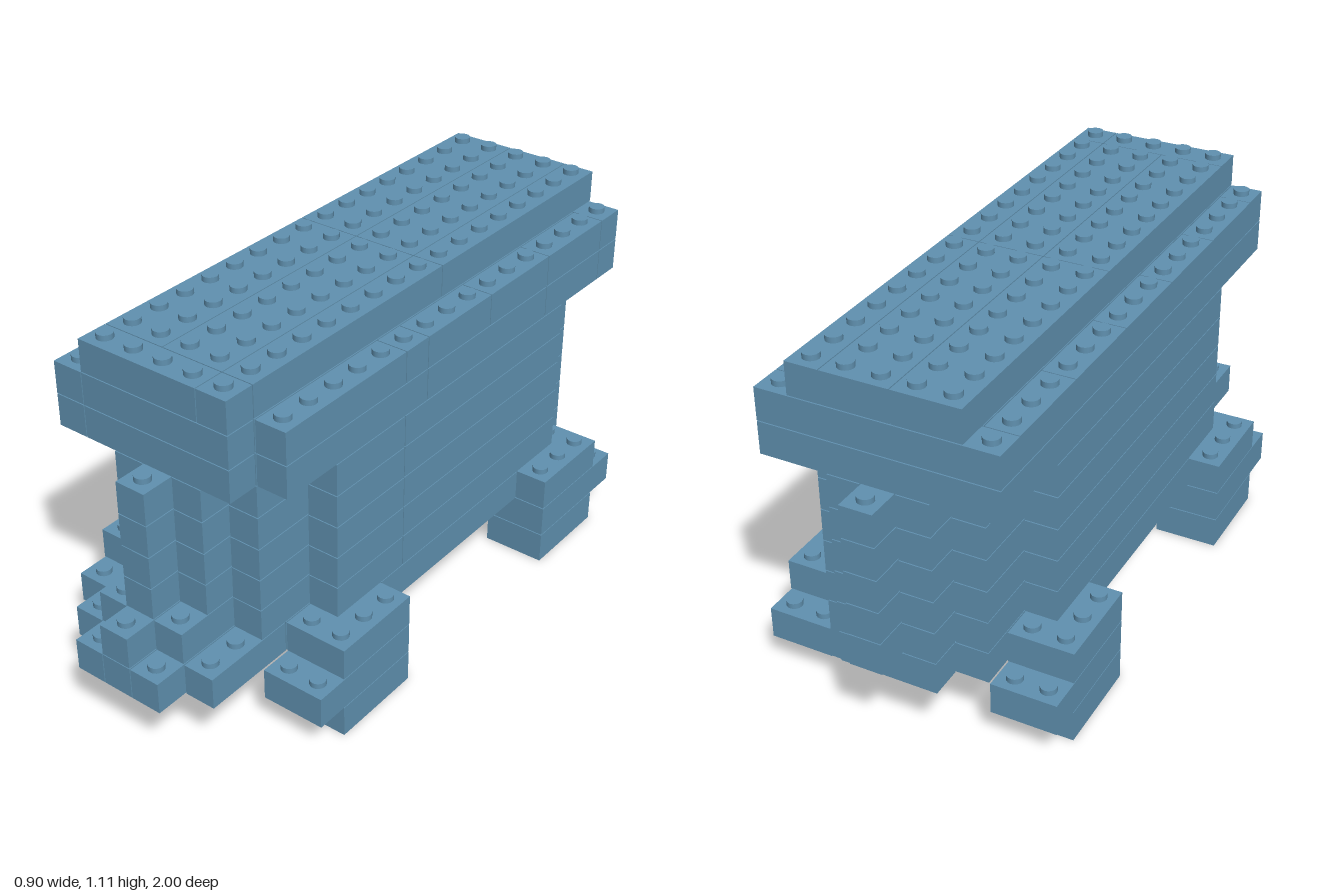
import * as THREE from 'three';
import { mergeGeometries } from 'three/addons/utils/BufferGeometryUtils.js';

const U = 0.1;      // one stud pitch, also one brick height
const GAP = 0.003;  // seam between neighbouring bricks

// A brick is [first column, last column, z start, z end, layer], in stud units.
// Column 0 is centred on x = 0.
function makeParts() {
  const feet = [], fenders = [], base = [], walls = [], roof = [], topRoof = [];

  // Feet and the fenders above them, mirrored to both sides
  for (const [a, b] of [[3, 4], [-4, -3]]) {
    feet.push([a, b, 3, 6, 0], [a, b, 3, 7, 1], [a, b, -7, -4, 0], [a, b, -8, -4, 1]);
    fenders.push([a, b, 3, 6, 2], [a, b, -7, -4, 2]);
  }

  // Base plate with a stepped bow and stern
  base.push([-1, -1, 6, 10, 2], [0, 0, 6, 10, 2], [1, 1, 6, 10, 2]);
  base.push([-2, -2, 6, 9, 2], [2, 2, 6, 9, 2]);
  base.push([-2, 2, 3, 6, 2], [-3, 3, -4, 3, 2], [-2, 2, -8, -4, 2], [-1, 1, -9, -8, 2]);

  // Wall strips, each ending further out towards the middle
  for (let layer = 3; layer < 8; layer++) {
    const low = layer === 3 ? 1 : 0;
    for (const s of [-1, 1]) {
      walls.push([3 * s, 3 * s, -6, 2, layer], [3 * s, 3 * s, 2, 5, layer]);
      walls.push([2 * s, 2 * s, -8, 2, layer], [2 * s, 2 * s, 2, 7, layer]);
      walls.push([s, s, -9, 2, layer], [s, s, 2, 8 + low, layer]);
    }
    walls.push([0, 0, -10, 2, layer], [0, 0, 2, 9 + low, layer]);
  }

  // Wide roof, two layers; one front corner is left out
  const seams = {
    8: [[-8, -2, 2, 7], [-8, -5, 1, 7]],
    9: [[-8, -5, -2, 1, 4, 7], [-8, -5, -2, 1, 2, 7]],
  };
  for (const layer of [8, 9]) {
    roof.push([-3, 3, -9, -8, layer], [-2, 2, -8, 7, layer]);
    roof.push([-3, -3, 7, 8, layer], [-2, 2, 7, 8, layer]);
    [-3, 3].forEach((col, n) => {
      const cuts = seams[layer][n];
      for (let i = 1; i < cuts.length; i++) roof.push([col, col, cuts[i - 1], cuts[i], layer]);
    });
  }

  // Narrow top of the roof
  topRoof.push([-2, 1, 7, 8, 10], [2, 2, 7, 8, 10]);
  for (const [a, b] of [[-2, -1], [0, 1], [2, 2]]) {
    topRoof.push([a, b, -9, -1, 10], [a, b, -1, 7, 10]);
  }
  return { feet, fenders, base, walls, roof, topRoof };
}

function brickGeometry([a, b, z0, z1, layer]) {
  const w = (b - a + 1) * U, d = (z1 - z0) * U;
  const g = new THREE.BoxGeometry(w - GAP, U - GAP, d - GAP);
  return g.translate((a + b) / 2 * U, (layer + 0.5) * U, (z0 + z1) / 2 * U);
}

// Calls fn for every stud cell of a brick
function eachCell([a, b, z0, z1, layer], fn) {
  for (let i = a; i <= b; i++) for (let k = z0; k < z1; k++) fn(i, k, layer);
}

export function createModel() {
  const model = new THREE.Group();
  model.name = 'brickModel';
  const blue = new THREE.MeshStandardMaterial({ color: 0x6091b0 });
  blue.name = 'steel blue';

  const parts = makeParts();
  const filled = new Set();
  for (const bricks of Object.values(parts)) {
    for (const brick of bricks) eachCell(brick, (i, k, l) => filled.add(`${i},${k},${l}`));
  }

  for (const [name, bricks] of Object.entries(parts)) {
    const group = new THREE.Group();
    group.name = name;
    const bodies = new THREE.Mesh(mergeGeometries(bricks.map(brickGeometry)), blue);
    bodies.name = name + 'Bricks';
    group.add(bodies);

    // Studs only where no brick sits on top
    const studs = [];
    for (const brick of bricks) {
      eachCell(brick, (i, k, l) => {
        if (filled.has(`${i},${k},${l + 1}`)) return;
        const stud = new THREE.CylinderGeometry(0.024, 0.024, 0.018, 16);
        studs.push(stud.translate(i * U, (l + 1) * U + 0.006, (k + 0.5) * U));
      });
    }
    if (studs.length) {
      const mesh = new THREE.Mesh(mergeGeometries(studs), blue);
      mesh.name = name + 'Studs';
      group.add(mesh);
    }
    model.add(group);
  }
  return model;
}
